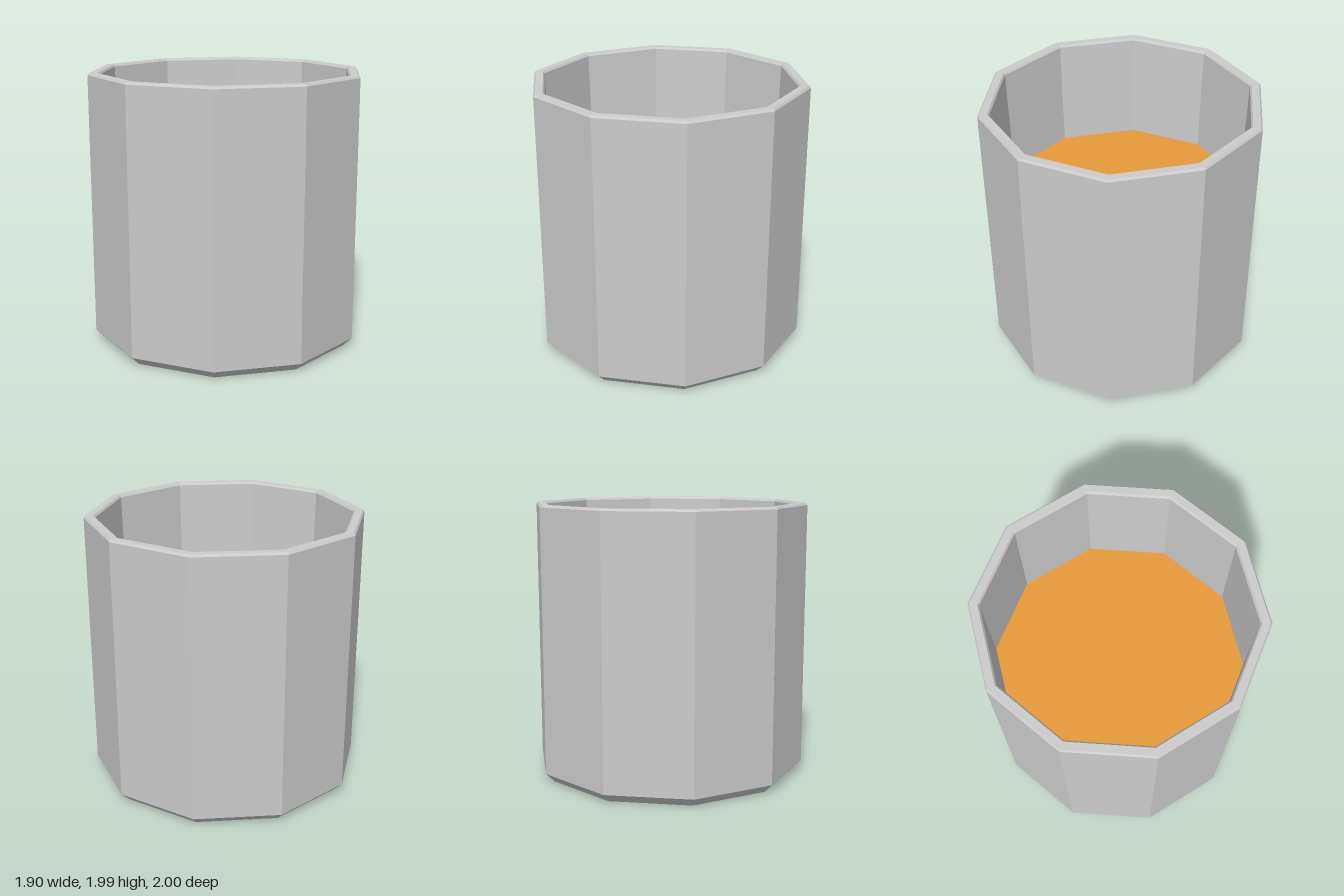
import * as THREE from 'three';

const SIDES = 10;

export function createModel() {
  const model = new THREE.Group();
  model.name = 'cup';

  // Hollow ten-sided shell with bevelled base and rim, corners on the z axis
  const profile = [
    [0, 0], [0.935, 0], [1, 0.065], [1, 1.97], [0.988, 1.985],
    [0.933, 1.985], [0.921, 1.97], [0.905, 1.18], [0.885, 0.08], [0, 0.08],
  ].map(([r, y]) => new THREE.Vector2(r, y));
  const shell = new THREE.Mesh(
    new THREE.LatheGeometry(profile, SIDES),
    new THREE.MeshStandardMaterial({ color: 0xcccccc, flatShading: true })
  );
  shell.name = 'cupShell';
  model.add(shell);

  // Flat surface of the drink, resting against the inner wall
  const surface = new THREE.CircleGeometry(0.905, SIDES, Math.PI / 2);
  surface.rotateX(-Math.PI / 2);
  const drink = new THREE.Mesh(
    surface,
    new THREE.MeshStandardMaterial({ color: 0xe69a39, flatShading: true, side: THREE.DoubleSide })
  );
  drink.name = 'drinkSurface';
  drink.position.y = 1.18;
  model.add(drink);

  return model;
}
